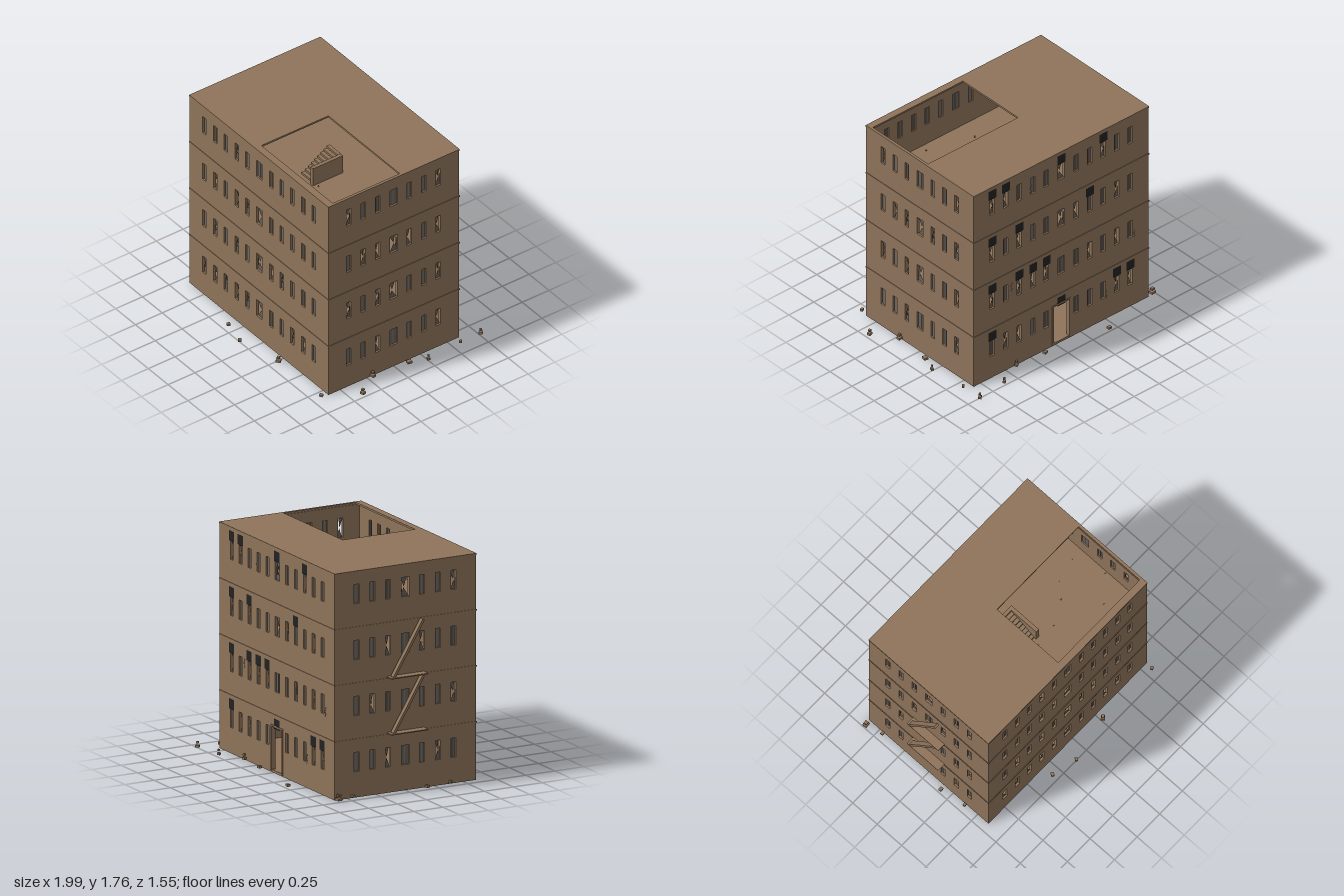
import * as THREE from 'three';
import { mergeGeometries } from 'three/addons/utils/BufferGeometryUtils.js';

const mat = (name, color, side = THREE.FrontSide) => {
  const m = new THREE.MeshStandardMaterial({ color, side });
  m.name = name;
  return m;
};

const W = 1.75, D = 1.22, T = 0.025, BASE = 0.01, TOP = 1.745, STOREY = 0.435, CX = -0.055;
const LONG_X = [-0.69, -0.555, -0.42, -0.282, -0.148, 0, 0.152, 0.285, 0.42, 0.555, 0.69];
const SHORT_X = [-0.42, -0.285, -0.15, 0, 0.145, 0.28, 0.415];

export function createModel() {
  const concrete = mat('brown concrete', 0x8f745a);
  const glass = mat('grey glass', 0x645f5a, THREE.DoubleSide);
  const sash = mat('window sash', 0x78716a);
  const soot = mat('black soot', 0x222222, THREE.DoubleSide);

  const model = new THREE.Group();
  model.name = 'ruinedBuilding';
  const add = (parent, name, geo, material, x = 0, y = 0, z = 0) => {
    const m = new THREE.Mesh(geo, material);
    m.name = name;
    m.position.set(x, y, z);
    parent.add(m);
    return m;
  };
  const box = (parent, name, w, h, d, x, y, z, material = concrete) =>
    add(parent, name, new THREE.BoxGeometry(w, h, d), material, x, y, z);
  const rect = (Type, x0, y0, x1, y1) => {
    const p = new Type();
    p.moveTo(x0, y0);
    p.lineTo(x1, y0);
    p.lineTo(x1, y1);
    p.lineTo(x0, y1);
    p.closePath();
    return p;
  };
  const tri = (...pts) => new THREE.ShapeGeometry(
    new THREE.Shape(pts.map(([x, y]) => new THREE.Vector2(x, y))));

  const building = new THREE.Group();
  building.name = 'building';
  building.position.x = CX;
  model.add(building);

  // One facade: pierced wall, intact panes, broken shards and soot marks.
  function facade(name, length, xs, broken, turn, dist, { door = false, sootAt = [] } = {}) {
    const g = new THREE.Group();
    g.name = name;
    g.rotation.y = turn;
    g.position.set(Math.sin(turn) * dist, 0, Math.cos(turn) * dist);
    building.add(g);

    const wall = rect(THREE.Shape, -length / 2, BASE, length / 2, TOP);
    const panes = [], bars = [], marks = [];
    const mid = (xs.length - 1) / 2;
    for (let f = 0; f < 4; f++) {
      const y0 = 0.2 + f * STOREY, y1 = y0 + 0.15;
      xs.forEach((x, i) => {
        const hw = i === mid ? 0.034 : 0.022;
        if (sootAt[f]?.includes(i)) {
          marks.push(new THREE.PlaneGeometry(0.078, 0.08).translate(x, y1 + 0.035, 0.003));
        }
        if (door && f === 0 && i === mid) {
          wall.holes.push(rect(THREE.Path, -0.08, 0.02, 0.08, 0.36));
          return;
        }
        wall.holes.push(rect(THREE.Path, x - hw, y0, x + hw, y1));
        if (broken[f].includes(i)) {
          const s = (i + f) % 2 ? 1 : -1;
          panes.push(
            tri([x - hw, y1], [x + s * hw * 0.2, y1 - 0.075], [x + hw * 0.6, y1]),
            tri([x - hw * 0.8, y0], [x + hw, y0], [x + s * hw * 0.3, y0 + 0.07]),
            tri([x + s * hw, y0], [x + s * hw * 0.3, y0], [x + s * hw, y0 + 0.11]));
        } else {
          panes.push(new THREE.PlaneGeometry(hw * 2, 0.15).translate(x, y0 + 0.075, 0));
          bars.push(new THREE.BoxGeometry(0.007, 0.15, 0.006).translate(x, y0 + 0.075, 0));
        }
      });
    }
    const geo = new THREE.ExtrudeGeometry(wall, { depth: T, bevelEnabled: false });
    add(g, name + 'Wall', geo, concrete, 0, 0, -T);
    add(g, name + 'Glass', mergeGeometries(panes), glass, 0, 0, -T * 0.6);
    add(g, name + 'WindowBars', mergeGeometries(bars), sash, 0, 0, -T * 0.6);
    if (marks.length) add(g, name + 'Soot', mergeGeometries(marks), soot);
    if (door) {
      for (const s of [-1, 1]) box(g, 'doorJamb', 0.012, 0.35, 0.035, s * 0.084, 0.185, -0.012);
      box(g, 'doorLintel', 0.18, 0.012, 0.035, 0, 0.364, -0.012);
    }
  }

  facade('front', W, LONG_X,
    [[0, 1, 2, 3, 4, 5, 8, 9], [1, 3, 5, 6, 7], [1, 3, 4, 5], [3]], 0, D / 2);
  facade('back', W, LONG_X,
    [[1, 2, 9, 10], [0, 2, 3, 4, 7, 9], [0, 2, 5, 6, 9], [0, 1, 5, 8]], Math.PI, D / 2,
    { door: true, sootAt: [[0, 5, 9, 10], [0, 2, 3, 4], [0, 2, 7], [0, 1, 5, 8]] });
  facade('leftSide', D - 2 * T, SHORT_X,
    [[2, 6], [0, 2, 3, 6], [1, 2, 3, 4, 6], [0, 6]], Math.PI / 2, W / 2);
  facade('rightSide', D - 2 * T, SHORT_X,
    [[2, 5], [1, 6], [2, 4], [3, 6]], -Math.PI / 2, W / 2);

  // Ground slab and storey floors; their edges show as thin bands outside.
  box(building, 'groundSlab', W, 0.02, D, 0, 0.01, 0);
  for (let f = 1; f < 4; f++) {
    box(building, 'storeyFloor', W + 0.008, 0.012, D + 0.008, 0, 0.015 + f * STOREY, 0);
  }

  // Roof with the collapsed opening (shape y becomes -z).
  const roof = rect(THREE.Shape, -W / 2 - 0.003, -D / 2 - 0.003, W / 2 + 0.003, D / 2 + 0.003);
  roof.holes.push(rect(THREE.Path, -0.1 - CX, -0.555, 0.8 - CX, 0.07));
  const roofGeo = new THREE.ExtrudeGeometry(roof, { depth: 0.015, bevelEnabled: false });
  roofGeo.rotateX(-Math.PI / 2);
  add(building, 'roof', roofGeo, concrete, 0, TOP, 0);

  // Inner stairs and the stair wall on every storey.
  for (let f = 0; f < 4; f++) {
    const y = 0.02 + f * STOREY;
    for (let i = 0; i < 9; i++) {
      const h = 0.018 * (i + 1);
      box(model, 'innerStep', 0.14, h, 0.029, -0.03, y + h / 2, 0.165 - i * 0.029);
    }
    const h = f === 3 ? 0.16 : 0.42;
    box(model, 'stairWall', 0.03, h, 0.28, 0.055, y + h / 2, 0.06);
  }

  // Fire escape: two landings, each with a steep flight above.
  const rise = 0.43, run = 0.26;
  for (const y of [0.465, 0.9]) {
    box(model, 'fireEscapeLanding', 0.07, 0.008, 0.32, -0.965, y, 0);
    const flight = box(model, 'fireEscapeFlight', 0.04, 0.02, Math.hypot(rise, run) - 0.01,
      -0.975, y + rise / 2, -0.005);
    flight.rotation.x = -Math.atan2(rise, run);
  }

  // Thin wall cracks on the back.
  for (const [x, y] of [[0.25, 1.53], [0.44, 0.72], [-0.51, 0.2], [-0.79, 0.63]]) {
    [0.5, -0.6, 0.4].forEach((a, i) => {
      box(model, 'crack', 0.004, 0.028, 0.003, x + (i % 2) * 0.004, y + i * 0.023, -0.611)
        .rotation.z = a;
    });
  }

  // Rubble around the building: x, z, size, and whether a chip sits above.
  const rubble = [
    [-0.43, -0.73, 0.03, 0], [0.14, -0.65, 0.03, 0], [0.41, -0.63, 0.026, 1], [0.62, -0.73, 0.024, 1],
    [0.89, -0.76, 0.03, 1], [0.89, -0.57, 0.022, 0], [0.92, -0.25, 0.024, 1], [0.865, -0.11, 0.038, 0],
    [0.84, 0.21, 0.034, 1], [0.97, 0.4, 0.034, 1], [0.81, 0.67, 0.026, 0], [0.27, 0.67, 0.038, 1],
    [-0.11, 0.75, 0.026, 0], [-0.32, 0.7, 0.028, 0], [-0.975, -0.6, 0.044, 1], [-0.945, -0.46, 0.026, 0],
    [-0.945, 0.38, 0.024, 0], [-0.975, 0.165, 0.03, 0],
  ];
  rubble.forEach(([x, z, s, chip], i) => {
    const angle = x < -0.9 ? 0.1 : (i * 1.7) % 1.5;
    box(model, 'rubble', s, 0.018, s * 0.85, x, 0.019, z).rotation.y = angle;
    if (chip) box(model, 'rubbleChip', s * 0.6, 0.013, s * 0.6, x, 0.049, z).rotation.y = angle;
  });

  // Small chips on the top floor below the opening.
  const chips = [[0.69, -0.04], [0.5, 0.01], [0.4, 0.12], [0.1, 0.17], [0.21, 0.22], [0.59, 0.38],
    [0.3, 0.52], [-0.09, 0.41], [0.02, 0.24], [0.78, 0.22]];
  for (const [x, z] of chips) box(model, 'floorChip', 0.01, 0.008, 0.01, x, 1.33, z).rotation.y = x * 9;

  return model;
}
